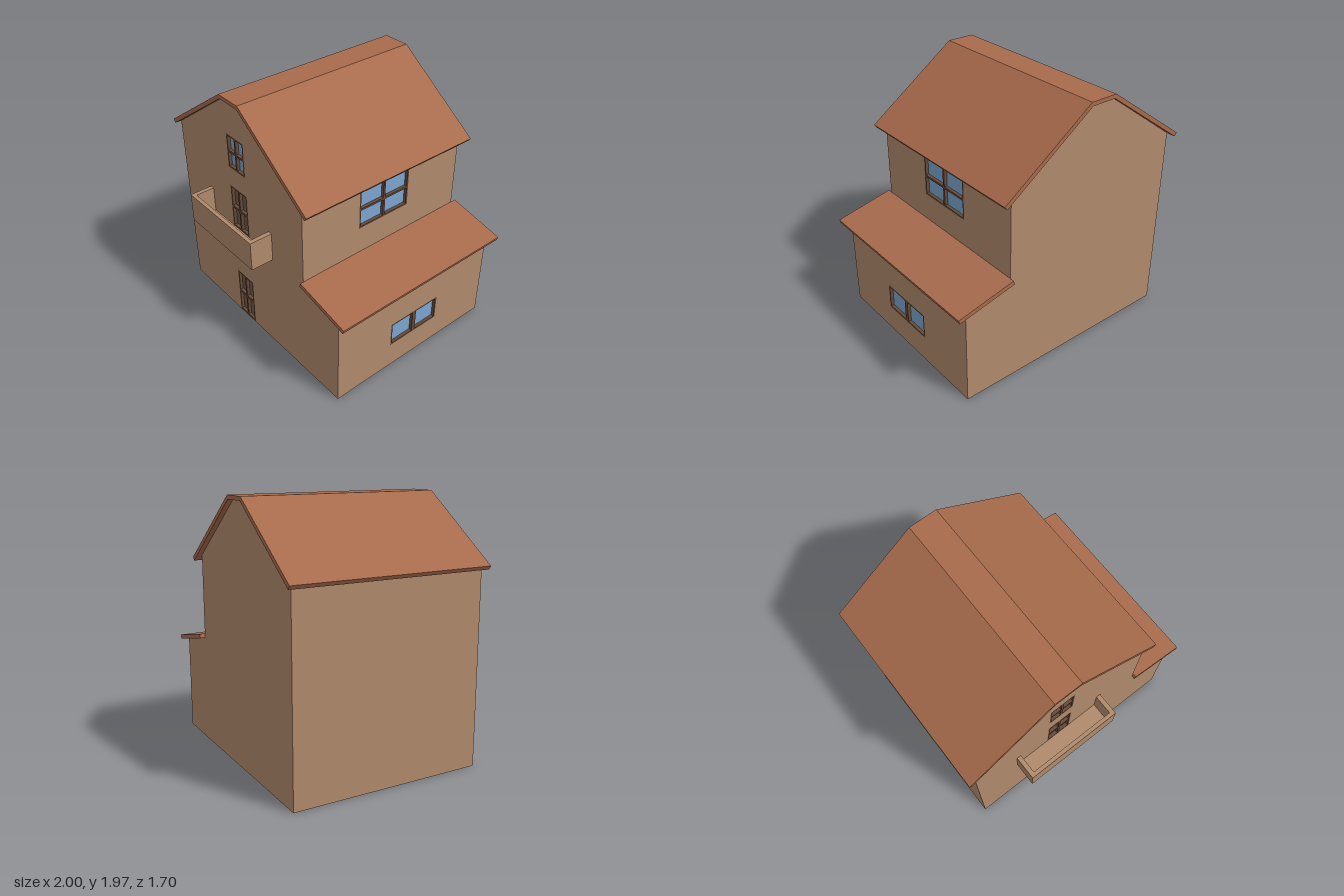
import * as THREE from 'three';

const paint = (color) => new THREE.MeshStandardMaterial({ color, flatShading: true, side: THREE.DoubleSide });
const wallMat = paint(0xb08a6c);
const roofMat = paint(0xa86b4c);
const frameMat = paint(0x664a38);
const glassMat = paint(0x7ba5d0);
const doorMat = paint(0x705b49);

const FRONT = 0.67, BACK = -0.81;

const shapeOf = (points) => new THREE.Shape(points.map(([x, y]) => new THREE.Vector2(x, y)));
const rect = ([x0, y0, x1, y1]) => [[x0, y0], [x1, y0], [x1, y1], [x0, y1]];

function add(parent, name, geometry, material) {
  const mesh = new THREE.Mesh(geometry, material);
  mesh.name = name;
  parent.add(mesh);
  return mesh;
}

// Flat sheet with rectangular openings
function sheet(points, openings = []) {
  const shape = shapeOf(points);
  openings.forEach((o) => shape.holes.push(shapeOf(rect(o))));
  return new THREE.ShapeGeometry(shape);
}

// Divided frame, flush with the wall, with panes set back behind it
function opening(parent, name, [x0, y0, x1, y1], rows, bar, paneMat) {
  const group = new THREE.Group();
  group.name = name;
  parent.add(group);
  const edge = 0.013, depth = 0.025;
  const frame = shapeOf(rect([x0, y0, x1, y1]));
  const w = (x1 - x0 - 2 * edge - bar) / 2;
  const h = (y1 - y0 - 2 * edge - 0.016 * (rows - 1)) / rows;
  for (let c = 0; c < 2; c++) {
    for (let r = 0; r < rows; r++) {
      const x = x0 + edge + c * (w + bar), y = y0 + edge + r * (h + 0.016);
      frame.holes.push(shapeOf(rect([x, y, x + w, y + h])));
    }
  }
  add(group, 'frame', new THREE.ExtrudeGeometry(frame, { depth, bevelEnabled: false }).translate(0, 0, -depth), frameMat);
  add(group, 'panes', new THREE.BoxGeometry(x1 - x0, y1 - y0, 0.01)
    .translate((x0 + x1) / 2, (y0 + y1) / 2, -depth - 0.005), paneMat);
}

// Slab following a cross-section, running the depth of the house
function roof(parent, name, points) {
  add(parent, name, new THREE.ExtrudeGeometry(shapeOf(points), { depth: 1.55, bevelEnabled: false })
    .translate(0, 0, -0.85), roofMat);
}

export function createModel() {
  const house = new THREE.Group();
  house.name = 'house';

  // Openings as [x0, y0, x1, y1] on their wall
  const door = [-0.305, 0.005, -0.1, 0.415];
  const balconyDoor = [-0.305, 0.86, -0.1, 1.225];
  const atticWindow = [-0.305, 1.385, -0.1, 1.66];
  const upperWindow = [-0.165, 1.07, 0.305, 1.385];
  const lowerWindow = [-0.165, 0.21, 0.305, 0.415];

  // Walls: gable outline, counter-clockwise from the lower left
  const outline = [[-0.94, 0], [0.915, 0], [0.915, 0.75], [0.54, 0.832],
    [0.54, 1.485], [-0.1, 1.938], [-0.3, 1.938], [-0.94, 1.485]];
  const walls = new THREE.Group();
  walls.name = 'walls';
  house.add(walls);
  add(walls, 'frontWall', sheet(outline, [door, balconyDoor, atticWindow]), wallMat).position.z = FRONT;
  const mirrored = outline.map(([x, y]) => [-x, y]);
  const backWall = add(walls, 'backWall', sheet(mirrored), wallMat);
  backWall.rotation.y = Math.PI;
  backWall.position.z = BACK;

  // Sides, base and ceilings: one sheet per outline edge
  outline.forEach(([ax, ay], i) => {
    const [bx, by] = outline[(i + 1) % outline.length];
    const length = Math.hypot(bx - ax, by - ay);
    const along = new THREE.Vector3((bx - ax) / length, (by - ay) / length, 0);
    const across = new THREE.Vector3(0, 0, -1);
    const holes = [];
    if (i === 1) holes.push(lowerWindow);
    if (i === 3) holes.push([upperWindow[0], upperWindow[1] - ay, upperWindow[2], upperWindow[3] - ay]);
    const geometry = sheet(rect([-FRONT, 0, -BACK, length]), holes);
    const basis = new THREE.Matrix4().makeBasis(across, along, across.clone().cross(along)).setPosition(ax, ay, 0);
    add(walls, i === 0 ? 'base' : 'wallPanel' + i, geometry.applyMatrix4(basis), wallMat);
  });

  // Doors and windows
  const frontSide = new THREE.Group();
  frontSide.name = 'frontOpenings';
  frontSide.position.z = FRONT;
  house.add(frontSide);
  opening(frontSide, 'frontDoor', door, 2, 0.016, doorMat);
  opening(frontSide, 'balconyDoor', balconyDoor, 2, 0.016, doorMat);
  opening(frontSide, 'atticWindow', atticWindow, 2, 0.016, glassMat);
  [['upperWindow', upperWindow, 2, 0.016, 0.54], ['lowerWindow', lowerWindow, 1, 0.034, 0.915]]
    .forEach(([name, box, rows, bar, x]) => {
      const side = new THREE.Group();
      side.name = name + 'Side';
      side.rotation.y = Math.PI / 2;
      side.position.x = x;
      house.add(side);
      opening(side, name, box, rows, bar, glassMat);
    });

  // Roofs
  roof(house, 'mainRoof', [[-1, 1.485], [-0.31, 1.967], [-0.09, 1.967], [0.625, 1.46],
    [0.605, 1.433], [-0.1, 1.937], [-0.3, 1.937], [-0.982, 1.458]]);
  roof(house, 'sideRoof', [[0.535, 0.833], [0.99, 0.732], [1, 0.763], [0.545, 0.865]]);

  // Balcony: floor and three parapets
  const balcony = new THREE.Group();
  balcony.name = 'balcony';
  house.add(balcony);
  const block = (name, x0, x1, y0, y1, z0, z1) => add(balcony, name,
    new THREE.BoxGeometry(x1 - x0, y1 - y0, z1 - z0)
      .translate((x0 + x1) / 2, (y0 + y1) / 2, (z0 + z1) / 2), wallMat);
  block('balconyFloor', -0.555, 0.15, 0.83, 0.86, FRONT, 0.82);
  block('frontParapet', -0.59, 0.185, 0.83, 1.065, 0.82, 0.85);
  block('rightParapet', -0.59, -0.555, 0.83, 1.065, FRONT, 0.82);
  block('leftParapet', 0.15, 0.185, 0.83, 1.065, FRONT, 0.82);

  return house;
}
